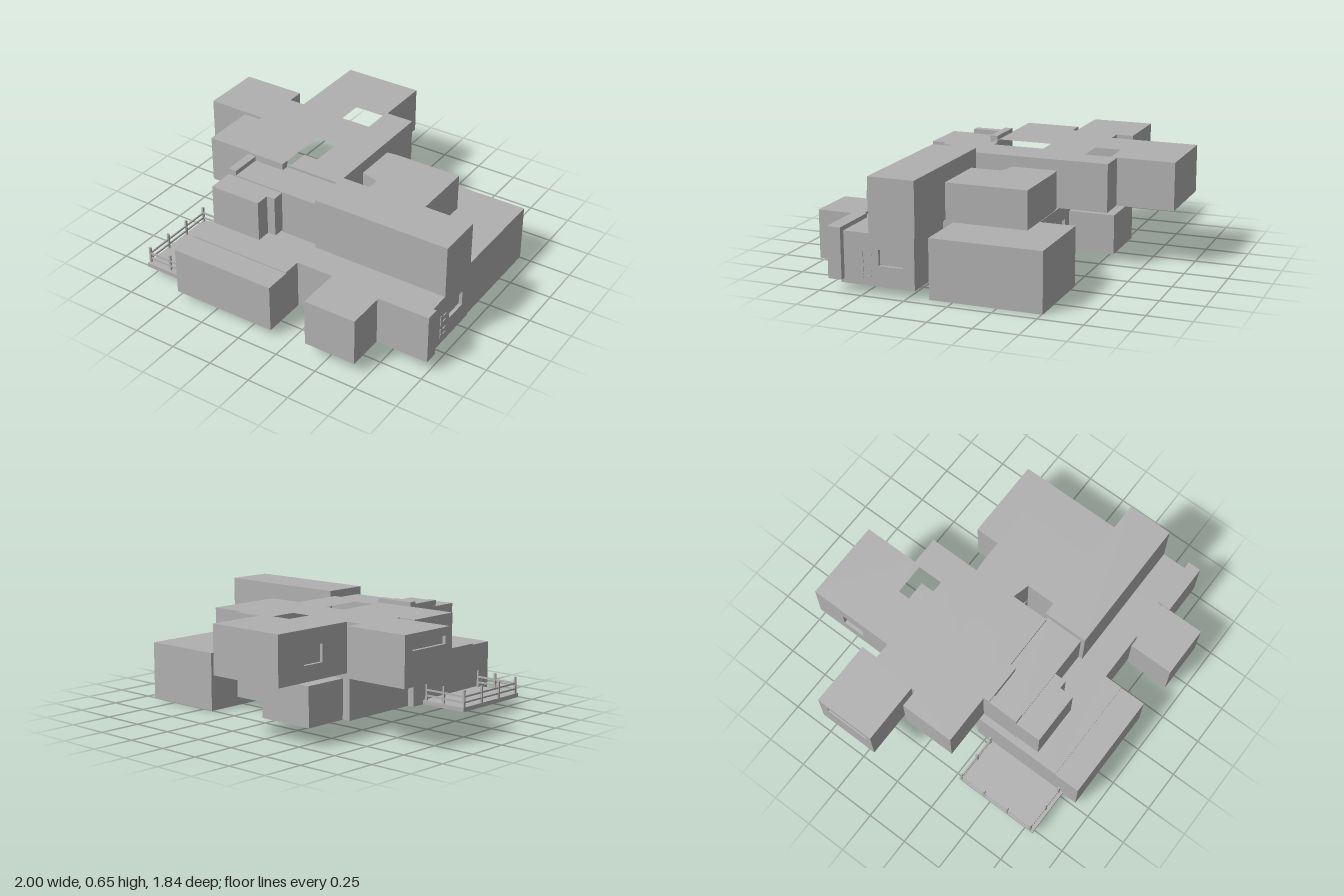
import * as THREE from 'three';

export function createModel() {
  const model = new THREE.Group();
  const grey = new THREE.MeshStandardMaterial({ color: 0xb0b0b0 });
  grey.name = 'plain grey';

  function add(name, geometry) {
    const mesh = new THREE.Mesh(geometry, grey);
    mesh.name = name;
    model.add(mesh);
    return mesh;
  }

  // Box given by its extents
  function box(name, x0, x1, y0, y1, z0, z1) {
    const g = new THREE.BoxGeometry(x1 - x0, y1 - y0, z1 - z0);
    g.translate((x0 + x1) / 2, (y0 + y1) / 2, (z0 + z1) / 2);
    return add(name, g);
  }

  const path = (Type, pts) => new Type(pts.map(([a, b]) => new THREE.Vector2(a, b)));

  // Floor plan of [x, z] corners raised from y0 to y1, with open wells
  function storey(name, plan, y0, y1, wells = []) {
    const flip = (pts) => pts.map(([x, z]) => [x, -z]);
    const shape = path(THREE.Shape, flip(plan));
    for (const w of wells) shape.holes.push(path(THREE.Path, flip(w)));
    const g = new THREE.ExtrudeGeometry(shape, { depth: y1 - y0, bevelEnabled: false });
    g.rotateX(-Math.PI / 2);
    g.translate(0, y0, 0);
    return add(name, g);
  }

  const rect = (a0, a1, b0, b1) => [[a0, b0], [a1, b0], [a1, b1], [a0, b1]];

  // Thin wall with a window opening; along 'x' or 'z', its far face at `at`
  const wallDepth = 0.02;
  function windowWall(name, along, at, outline, opening) {
    const shape = path(THREE.Shape, rect(...outline));
    shape.holes.push(path(THREE.Path, rect(...opening)));
    const g = new THREE.ExtrudeGeometry(shape, { depth: wallDepth, bevelEnabled: false });
    if (along === 'z') {
      g.rotateY(-Math.PI / 2);
      g.translate(at, 0, 0);
    } else {
      g.translate(0, 0, at - wallDepth);
    }
    return add(name, g);
  }

  // Ground floor with a light well
  storey('groundFloor', [
    [-0.49, 0.745], [0.145, 0.745], [0.145, 0.635], [0.45, 0.635], [0.45, 0.65], [0.69, 0.65],
    [0.69, 0.635], [0.945, 0.635], [0.945, 0.2], [0.6, 0.2], [0.6, -0.28], [-0.45, -0.28],
    [-0.45, 0.2], [-0.49, 0.2],
  ], 0.05, 0.34, [rect(0.14, 0.25, 0, 0.18)]);
  box('frontRoom', -0.49, 0.145, 0.05, 0.333, 0.745, 0.9);
  windowWall('endWall', 'z', 0.965, [0.2, 0.635, 0.05, 0.34], [0.27, 0.41, 0.165, 0.255]);
  windowWall('backWall', 'x', -0.28, [-0.45, 0.43, 0.05, 0.34], [0.02, 0.12, 0.16, 0.25]);
  box('backRoom', -0.4, -0.05, 0.05, 0.28, -0.57, -0.29);
  box('garage', 0.43, 0.93, 0, 0.34, -0.505, 0.135);
  box('frontBay', 0.38, 0.69, 0.075, 0.355, 0.645, 0.915);
  box('cornerBay', 0.69, 1.0, 0.075, 0.365, 0.615, 0.695);

  // Pipework on the end wall
  for (const y of [0.1, 0.135, 0.185, 0.22]) {
    box('wallPipe', 0.96, 0.97, y, y + 0.008, 0.45, 0.475);
    box('wallPipe', 0.96, 0.97, y - 0.01, y + 0.018, 0.5, 0.508);
  }

  // Upper floor with two open wells
  storey('upperFloor', [
    [-0.5, -0.92], [-0.04, -0.92], [-0.04, -0.585], [0.13, -0.585], [0.13, 0.215], [-0.745, 0.215],
    [-0.745, -0.11], [-0.64, -0.11], [-0.64, -0.4], [-0.5, -0.4],
  ], 0.342, 0.62, [rect(-0.235, -0.1, -0.12, 0.205), rect(-0.235, -0.05, -0.545, -0.39)]);
  box('backWellFloor', -0.24, -0.045, 0.342, 0.36, -0.55, -0.385);
  windowWall('upperBackWall', 'z', -0.5, [-0.92, -0.4, 0.342, 0.62], [-0.73, -0.59, 0.43, 0.53]);

  // Side wing with a slot window
  box('sideWing', -0.98, -0.635, 0.342, 0.62, -0.475, -0.135);
  windowWall('sideWingWall', 'z', -0.98, [-0.475, -0.135, 0.342, 0.62], [-0.44, -0.17, 0.53, 0.575]);
  box('sideWingBack', -1.0, -0.615, 0.342, 0.62, -0.5, -0.475);
  box('sideWingLink', -0.645, -0.615, 0.342, 0.62, -0.476, -0.395);

  // Upper rooms
  storey('upperSideRoom', [
    [0.14, -0.29], [0.2, -0.297], [0.61, -0.297], [0.61, 0.18], [0.25, 0.18], [0.25, 0], [0.14, -0.03],
  ], 0.335, 0.56);
  box('longRoom', 0.147, 0.965, 0.338, 0.65, 0.195, 0.465);
  box('upperFrontRoom', -0.45, 0.15, 0.338, 0.605, 0.21, 0.44);
  storey('balconyRoom', [
    [-0.45, 0.43], [-0.09, 0.43], [-0.09, 0.51], [-0.14, 0.51], [-0.14, 0.595], [-0.45, 0.595],
  ], 0.355, 0.597);
  box('parapetBack', -0.45, -0.213, 0.6, 0.645, 0.21, 0.255);
  box('parapetSide', -0.45, -0.4, 0.6, 0.632, 0.25, 0.44);

  // Deck with railings on three sides
  box('deck', -0.78, -0.485, 0.05, 0.075, 0.285, 0.81);
  const [x0, x1, z0, z1] = [-0.772, -0.505, 0.3, 0.788];
  const post = (x, z) => box('railPost', x - 0.006, x + 0.006, 0.07, 0.173, z - 0.006, z + 0.006);
  for (const z of [z0, z1]) for (const x of [x0, -0.628, x1]) post(x, z);
  for (const z of [0.463, 0.626]) post(x0, z);
  for (const y of [0.097, 0.13]) {
    for (const z of [z0, z1]) box('rail', x0, x1, y, y + 0.01, z - 0.004, z + 0.004);
    box('rail', x0 - 0.004, x0 + 0.004, y, y + 0.01, z0, z1);
  }

  return model;
}
